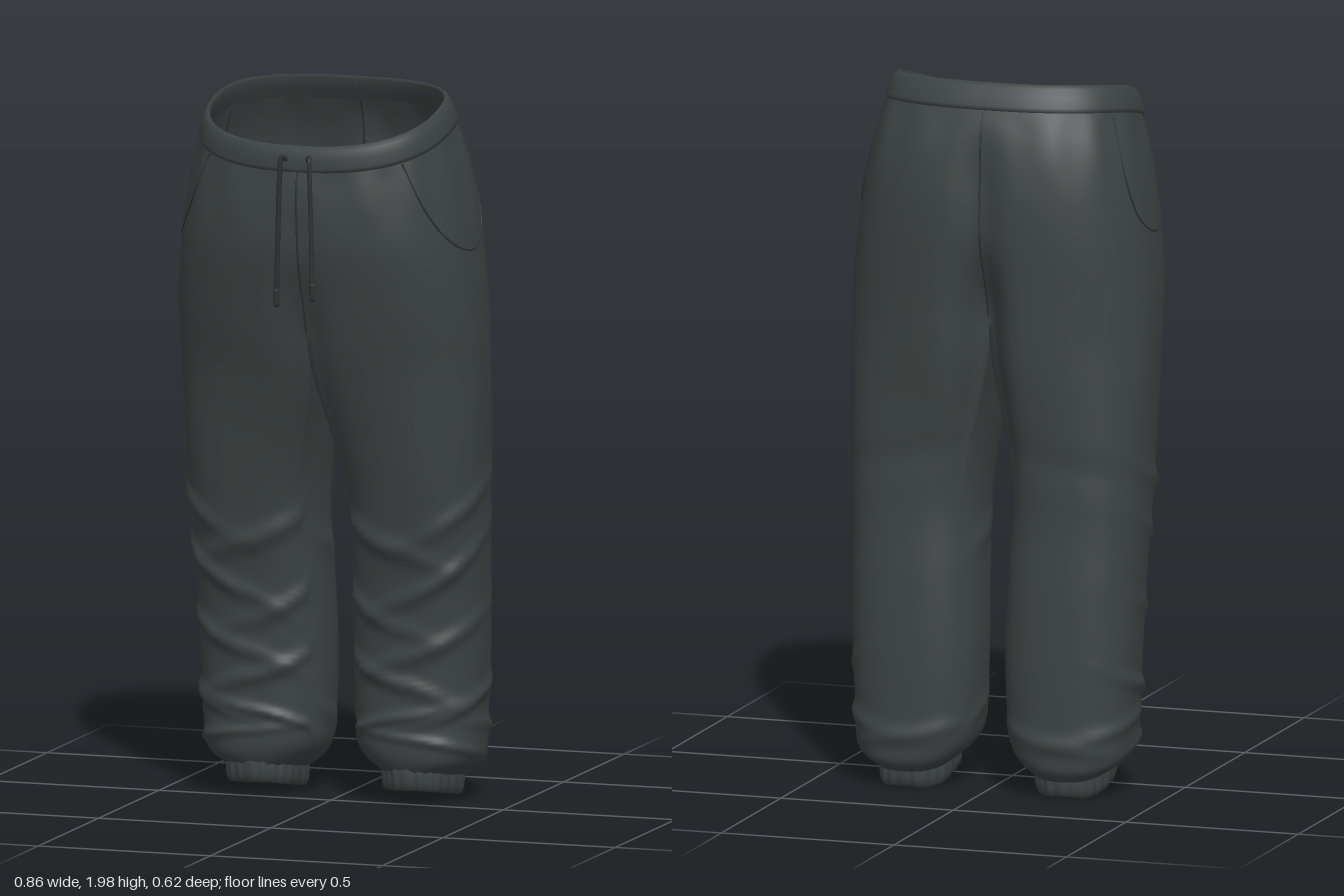
import * as THREE from 'three';
import { mergeGeometries, mergeVertices } from 'three/addons/utils/BufferGeometryUtils.js';

const { smoothstep, lerp } = THREE.MathUtils;
const CROTCH = 1.33, HEM = 0.09, WAIST = 1.9, SPREAD = 0.9;

// height: inner x, outer x, front z, back z
const SECTIONS = [
  [0.09, 0.125, 0.33, 0.022, -0.268],
  [0.115, 0.09, 0.37, 0.034, -0.288],
  [0.15, 0.06, 0.39, 0.04, -0.293],
  [0.25, 0.044, 0.397, 0.038, -0.295],
  [0.4, 0.038, 0.405, 0.044, -0.294],
  [0.6, 0.042, 0.41, 0.064, -0.286],
  [0.8, 0.049, 0.417, 0.1, -0.272],
  [1.0, 0.055, 0.424, 0.148, -0.282],
  [1.2, 0.055, 0.43, 0.198, -0.298],
  [1.4, 0, 0.43, 0.248, -0.305],
  [1.6, 0, 0.412, 0.285, -0.312],
  [1.7, 0, 0.396, 0.291, -0.307],
  [1.8, 0, 0.375, 0.29, -0.285],
  [1.89, 0, 0.35, 0.281, -0.245],
  [1.965, 0, 0.325, 0.274, -0.205],
];
const profile = new THREE.CubicInterpolant(
  SECTIONS.map((s) => s[0]), SECTIONS.flatMap((s) => s.slice(1)), 4);

// cloth folds: around, height, slope, width, reach, depth
const FOLDS = [
  [0.36, 0.84, 0.5, 0.028, 0.16, 0.012],
  [0.12, 0.76, -0.4, 0.026, 0.18, 0.015],
  [0.3, 0.66, 0.55, 0.026, 0.18, 0.015],
  [0.08, 0.56, -0.45, 0.023, 0.16, 0.013],
  [0.28, 0.47, 0.4, 0.025, 0.2, 0.013],
  [0.15, 0.37, -0.35, 0.02, 0.18, 0.015],
  [0.4, 0.3, 0.3, 0.02, 0.2, 0.012],
  [0.12, 0.25, 0.25, 0.016, 0.22, 0.013],
  [0.6, 0.22, -0.15, 0.018, 0.2, 0.01],
  [0.3, 0.18, -0.15, 0.013, 0.25, 0.011],
  [0.85, 0.19, 0.15, 0.02, 0.2, 0.008],
  [1.5, 0.24, 0.1, 0.025, 0.3, 0.007],
  [1.5, 0.72, 0.12, 0.035, 0.3, 0.007],
  [0.82, 0.95, 0.2, 0.05, 0.2, -0.006],
];
function foldDepth(v, h) {
  let d = 0;
  for (const [v0, h0, slope, width, reach, depth] of FOLDS) {
    const dv = ((v - v0 + 3) % 2) - 1;
    d += depth * Math.exp(-(((h - h0 - slope * dv) / width) ** 2) - (dv / reach) ** 2);
  }
  return d * (1 - smoothstep(h, 0.95, 1.2));
}
const squarish = (c) => Math.sign(c) * Math.abs(c) ** 0.8;

// Cloth surface on the +x side. v 0..1 runs front to back round the outside, 1..2 back along the inseam.
function cloth(v, h, offset = 0) {
  const [xi, xo, zf, zb] = profile.evaluate(h);
  const cx = (xi + xo) / 2, rx = (xo - xi) / 2, zc = (zf + zb) / 2, rz = (zf - zb) / 2;
  const outer = v <= 1;
  // leg tube
  const a = outer ? lerp(-SPREAD, Math.PI + SPREAD, v) : lerp(Math.PI + SPREAD, 2 * Math.PI - SPREAD, v - 1);
  const lx = cx + rx * squarish(Math.sin(a)), lz = zc + rz * squarish(Math.cos(a));
  // half of the hips, with a cleft that deepens towards the crotch
  const b = smoothstep(h, 0.75, CROTCH);
  const seat = 1 - smoothstep(h, 1.7, WAIST), under = 1 - smoothstep(h, CROTCH, 1.6);
  const hx = outer ? xo * squarish(Math.sin(Math.PI * v)) : 0;
  let hz = zc + rz * (outer ? squarish(Math.cos(Math.PI * v)) : lerp(-1, 1, v - 1));
  const dent = Math.exp(-((hx / 0.06) ** 2)) * seat;
  const reach = Math.min(1, Math.abs(hz - zc) / rz);
  hz += dent * reach * (hz < zc ? 0.03 + 0.07 * under : -0.006 - 0.025 * under);
  let x = lerp(lx, hx, b), z = lerp(lz, hz, b);
  // folds and waist gathers push the cloth outwards
  const gather = 0.003 * Math.cos(v * 44) * smoothstep(h, 1.65, 1.8) * (1 - smoothstep(h, 1.86, 1.9));
  const push = offset + gather + foldDepth(v, h);
  const dx = x - cx * (1 - b), dz = z - zc, len = Math.hypot(dx, dz) || 1;
  x += (dx / len) * push;
  z += (dz / len) * push;
  // waist dips at the front, hem dips at the back
  const u = (zc - z) / rz;
  const tilt = smoothstep(h, 1.45, 1.9) * (0.06 * u - 0.025 * u * u);
  const hem = -0.022 * u * (1 - smoothstep(h, HEM, 0.3));
  return new THREE.Vector3(x, h + tilt + hem, z);
}

// Ribbed cuff ring on the +x side, gathered unevenly
function cuff(a, h, offset) {
  const r = offset + 0.002 * Math.cos(a * 22) + 0.002 * Math.cos(a * 7 + 1);
  const c = squarish(Math.cos(a));
  const lift = 0.024 * c + 0.012 * Math.max(0, -c) ** 6;
  return new THREE.Vector3(0.227 + (0.1 + r) * squarish(Math.sin(a)), h + lift, -0.12 + (0.143 + r) * c);
}

const range = (n, from, to) => Array.from({ length: n + 1 }, (_, i) => lerp(from, to, i / n));

// Grid of quads through point(column, row); side -1 mirrors it
function sheet(point, columns, rows, side) {
  const pos = [], index = [], n = columns.length;
  for (const r of rows) for (const c of columns) {
    const p = point(c, r);
    pos.push(p.x * side, p.y, p.z);
  }
  for (let j = 0; j < rows.length - 1; j++) for (let i = 0; i < n - 1; i++) {
    const a = j * n + i, b = a + 1, c = b + n, d = a + n;
    index.push(...(side > 0 ? [a, b, c, a, c, d] : [a, c, b, a, d, c]));
  }
  const g = new THREE.BufferGeometry();
  g.setAttribute('position', new THREE.Float32BufferAttribute(pos, 3));
  g.setIndex(index);
  return g;
}
function joined(parts) {
  const g = mergeVertices(mergeGeometries(parts), 1e-4);
  g.computeVertexNormals();
  return g;
}

export function createModel() {
  const model = new THREE.Group();
  const fabric = new THREE.MeshStandardMaterial({ color: 0x3c4342, side: THREE.DoubleSide });
  fabric.name = 'charcoal fabric';
  const cord = new THREE.MeshStandardMaterial({ color: 0x2c3231 });
  cord.name = 'dark cord';
  const add = (name, geometry, material) => {
    const mesh = new THREE.Mesh(geometry, material);
    mesh.name = name;
    model.add(mesh);
  };
  const tube = (points, radius, segments = 40) =>
    new THREE.TubeGeometry(new THREE.CatmullRomCurve3(points), segments, radius, 6);
  const sides = [1, -1];

  // legs and hips as one continuous cloth, with closer columns near the centre seams
  const around = range(72, 0, 1).map((t) => lerp(t, smoothstep(t, 0, 1), 0.6));
  const loop = [...around, ...range(24, 1, 2).slice(1)];
  const legRows = range(90, 0, 1).map((t) => lerp(HEM, CROTCH, t ** 1.25));
  const hipRows = range(26, CROTCH, WAIST);
  add('trousers', joined(sides.flatMap((s) => [
    sheet(cloth, loop, legRows, s),
    sheet(cloth, around, hipRows, s),
  ])), fabric);

  // waistband: height and offset of its rounded section
  const band = [[1.896, -0.004], [1.894, 0.004], [1.906, 0.008], [1.932, 0.009], [1.955, 0.008],
    [1.965, 0], [1.957, -0.01], [1.925, -0.012], [1.896, -0.01]];
  add('waistband', joined(sides.map((s) =>
    sheet((v, [h, o]) => cloth(v, h, o), around, band, s))), fabric);

  // ribbed cuffs, turned inwards at the bottom
  const rib = [[0.125, -0.004], [0.09, 0.002], [0.06, 0], [0.044, -0.004], [0.036, -0.012], [0.046, -0.018], [0.08, -0.012]];
  add('cuffs', joined(sides.map((s) =>
    sheet((a, [h, o]) => cuff(a, h, o), range(132, 0, 2 * Math.PI), rib.slice().reverse(), s))), fabric);

  // pocket outlines
  const pocket = [[0.27, 1.89], [0.3, 1.77], [0.35, 1.66], [0.42, 1.595], [0.5, 1.575], [0.57, 1.62], [0.61, 1.72], [0.63, 1.88]];
  for (const s of sides) {
    const points = pocket.map(([v, h]) => cloth(v, h));
    points.forEach((p) => { p.x *= s; });
    add(s > 0 ? 'leftPocketSeam' : 'rightPocketSeam', tube(points, 0.003), cord);
  }

  // centre seams
  for (const [name, v] of [['frontSeam', 0], ['backSeam', 1]])
    add(name, tube(range(12, 1.345, 1.89).map((h) => cloth(v, h)), 0.003), cord);

  // drawstrings with thicker tips
  for (const s of sides) {
    const end = s > 0 ? 1.47 : 1.45, x = 0.048 * s;
    const points = [[0.03 * s, 1.84, 0.28], [0.04 * s, 1.85, 0.297], [x * 0.9, 1.8, 0.303], [x, 1.65, 0.303], [x * 1.08, end, 0.305]]
      .map((p) => new THREE.Vector3(...p));
    add(s > 0 ? 'leftDrawstring' : 'rightDrawstring', tube(points, 0.007), cord);
    const tip = new THREE.CapsuleGeometry(0.009, 0.035, 4, 8);
    tip.translate(x * 1.08, end + 0.01, 0.305);
    add(s > 0 ? 'leftDrawstringTip' : 'rightDrawstringTip', tip, cord);
  }
  return model;
}
